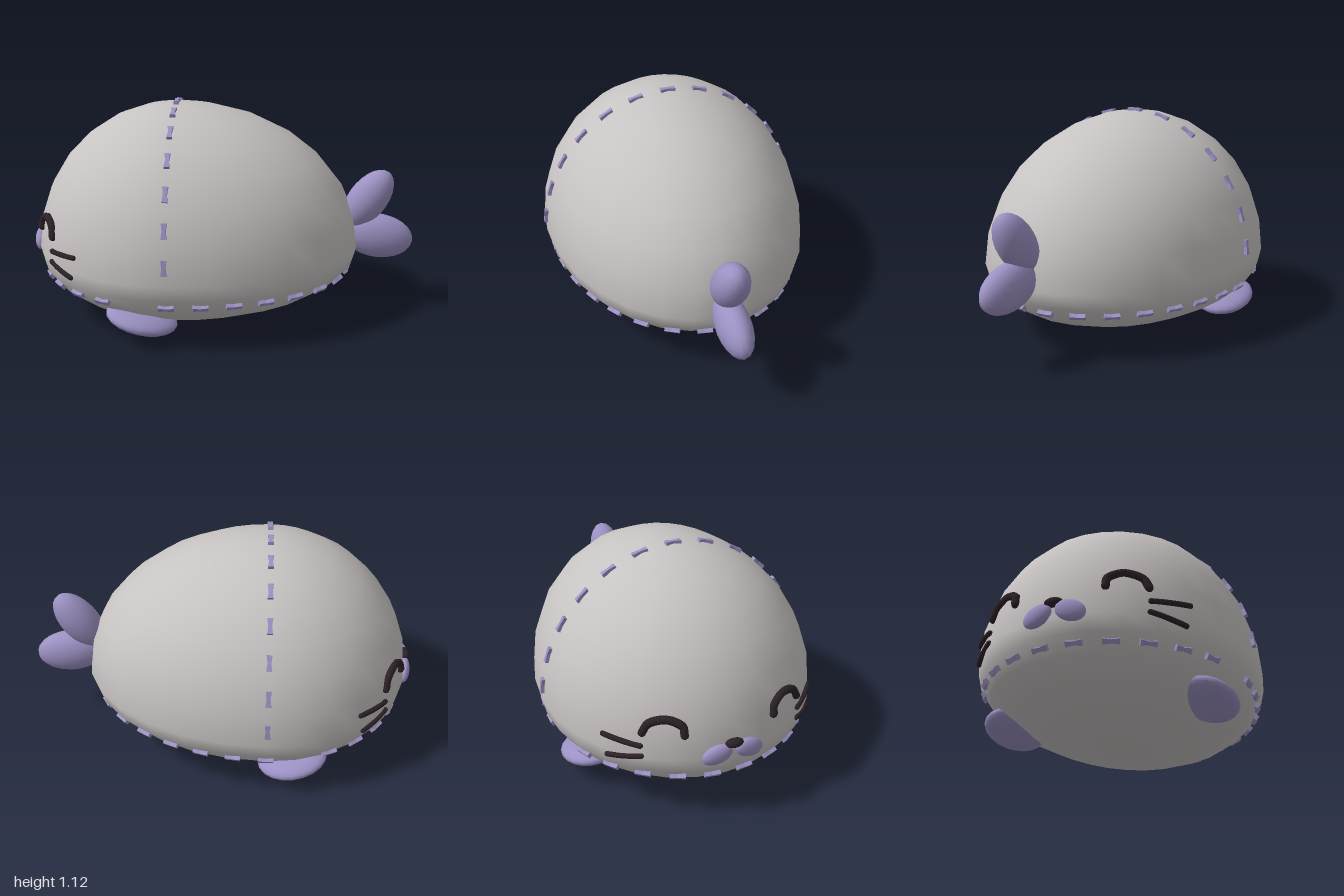
import * as THREE from 'three';
import { mergeVertices } from 'three/addons/utils/BufferGeometryUtils.js';

const mat = (name, color) => {
  const m = new THREE.MeshStandardMaterial({ color });
  m.name = name;
  return m;
};

// Body: an ellipsoid with its own radius in each direction from the centre
const CX = -0.24, CY = 0.37, RZ = 0.69;
const radiusX = (dx) => (dx < 0 ? 0.73 : 0.95);
const radiusY = (dy) => (dy < 0 ? 0.36 : 0.745);

function surfaceZ(x, y) {
  const u = (x - CX) / radiusX(x - CX), v = (y - CY) / radiusY(y - CY);
  return RZ * Math.sqrt(Math.max(0, 1 - u * u - v * v));
}

function surfaceNormal(p) {
  const dx = p.x - CX, dy = p.y - CY;
  return new THREE.Vector3(dx / radiusX(dx) ** 2, dy / radiusY(dy) ** 2, p.z / RZ ** 2).normalize();
}

function bodyGeometry() {
  let g = new THREE.SphereGeometry(1, 28, 14);
  g.deleteAttribute('uv');
  g.deleteAttribute('normal');
  g = mergeVertices(g, 1e-4);
  const p = g.attributes.position;
  for (let i = 0; i < p.count; i++) {
    const x = p.getX(i), y = p.getY(i);
    p.setXYZ(i, CX + x * radiusX(x), CY + y * radiusY(y), p.getZ(i) * RZ);
  }
  g.computeVertexNormals();
  return g;
}

// Stitch: a short bar, pinched in the middle
function stitchGeometry() {
  const s = new THREE.Shape();
  [[-0.038, -0.014], [0, -0.009], [0.038, -0.014], [0.038, 0.014], [0, 0.009], [-0.038, 0.014]]
    .forEach(([x, y], i) => (i ? s.lineTo(x, y) : s.moveTo(x, y)));
  const g = new THREE.ExtrudeGeometry(s, { depth: 0.024, bevelEnabled: false });
  g.translate(0, 0, -0.012);
  return g;
}

export function createModel() {
  const root = new THREE.Group();
  root.name = 'plushSeal';
  const grey = mat('grey fabric', 0xc8c3c3);
  const purple = mat('purple fabric', 0x9c91c3);
  const dark = mat('dark thread', 0x2b2126);

  const add = (parent, name, geometry, material) => {
    const m = new THREE.Mesh(geometry, material);
    m.name = name;
    parent.add(m);
    return m;
  };
  const ellipsoid = (name, material, pos, radii, rot = [0, 0, 0]) => {
    const m = add(root, name, new THREE.SphereGeometry(1, 20, 14), material);
    m.position.set(...pos);
    m.scale.set(...radii);
    m.rotation.set(...rot);
    return m;
  };

  add(root, 'body', bodyGeometry(), grey);

  // Tail lobes
  ellipsoid('upperTailLobe', purple, [0.757, 0.612, 0], [0.18, 0.1, 0.09], [0, 0, 0.96]);
  ellipsoid('lowerTailLobe', purple, [0.815, 0.412, 0], [0.187, 0.118, 0.084], [0, 0, -0.15]);

  // Nose
  ellipsoid('nose', dark, [-0.972, 0.44, 0], [0.026, 0.022, 0.045]);

  // Embroidered line that follows the body, with round ends
  const thread = (name, points, side, radius) => {
    const g = new THREE.Group();
    g.name = name;
    root.add(g);
    const flat = new THREE.CatmullRomCurve3(points.map(([x, y]) => new THREE.Vector3(x, y, 0)));
    const pts = flat.getPoints(14).map((p) => p.setZ(side * surfaceZ(p.x, p.y)));
    const curve = new THREE.CatmullRomCurve3(pts);
    add(g, 'thread', new THREE.TubeGeometry(curve, 24, radius, 8), dark);
    for (const end of [pts[0], pts[pts.length - 1]]) {
      add(g, 'threadEnd', new THREE.SphereGeometry(radius, 8, 6), dark).position.copy(end);
    }
  };

  for (const side of [1, -1]) {
    const label = side > 0 ? 'left' : 'right';
    ellipsoid(label + 'Flipper', purple, [-0.375, 0.132, side * 0.5], [0.18, 0.055, 0.145], [side * 0.1, 0, -0.22]);
    ellipsoid(label + 'Muzzle', purple, [-0.965, 0.39, side * 0.08], [0.03, 0.05, 0.075], [side * 0.35, side * 0.12, 0]);
    thread(label + 'Eye', [[-0.918, 0.505], [-0.905, 0.55], [-0.87, 0.577], [-0.835, 0.555], [-0.826, 0.505]], side, 0.02);
    thread(label + 'UpperWhisker', [[-0.83, 0.435], [-0.76, 0.443], [-0.695, 0.45]], side, 0.013);
    thread(label + 'LowerWhisker', [[-0.835, 0.38], [-0.775, 0.36], [-0.715, 0.343]], side, 0.013);
  }

  // Stitches laid along a seam, facing outwards
  const stitch = stitchGeometry();
  const addStitch = (group, p, tangent) => {
    const n = surfaceNormal(p);
    const x = tangent.clone().addScaledVector(n, -tangent.dot(n)).normalize();
    const m = add(group, 'stitch', stitch, purple);
    m.quaternion.setFromRotationMatrix(new THREE.Matrix4().makeBasis(x, n.clone().cross(x), n));
    m.position.copy(p);
  };
  const seam = (name, count, pointAt, closed, skip) => {
    const g = new THREE.Group();
    g.name = name;
    root.add(g);
    const pts = [];
    for (let i = 0; i < 72; i++) pts.push(pointAt(i / (closed ? 72 : 71)));
    const curve = new THREE.CatmullRomCurve3(pts, closed);
    for (let i = 0; i < count; i++) {
      const t = closed ? (i + 0.5) / count : i / (count - 1);
      const p = curve.getPointAt(t);
      if (!skip(p)) addStitch(g, p, curve.getTangentAt(t));
    }
  };

  // Seam around the belly, open above the flippers
  const seamY = 0.25;
  const k = Math.sqrt(1 - ((seamY - CY) / 0.36) ** 2);
  seam('bellySeam', 28, (t) => {
    const a = t * Math.PI * 2, c = Math.cos(a);
    return new THREE.Vector3(CX + k * c * radiusX(c), seamY, k * RZ * Math.sin(a));
  }, true, (p) => Math.abs(p.x + 0.43) < 0.085);

  // Seam over the back
  const reach = Math.acos((0.465 - CY) / 0.745);
  seam('backSeam', 13, (t) => {
    const a = (t * 2 - 1) * reach;
    return new THREE.Vector3(CX, CY + 0.745 * Math.cos(a), RZ * Math.sin(a));
  }, false, () => false);

  return root;
}
